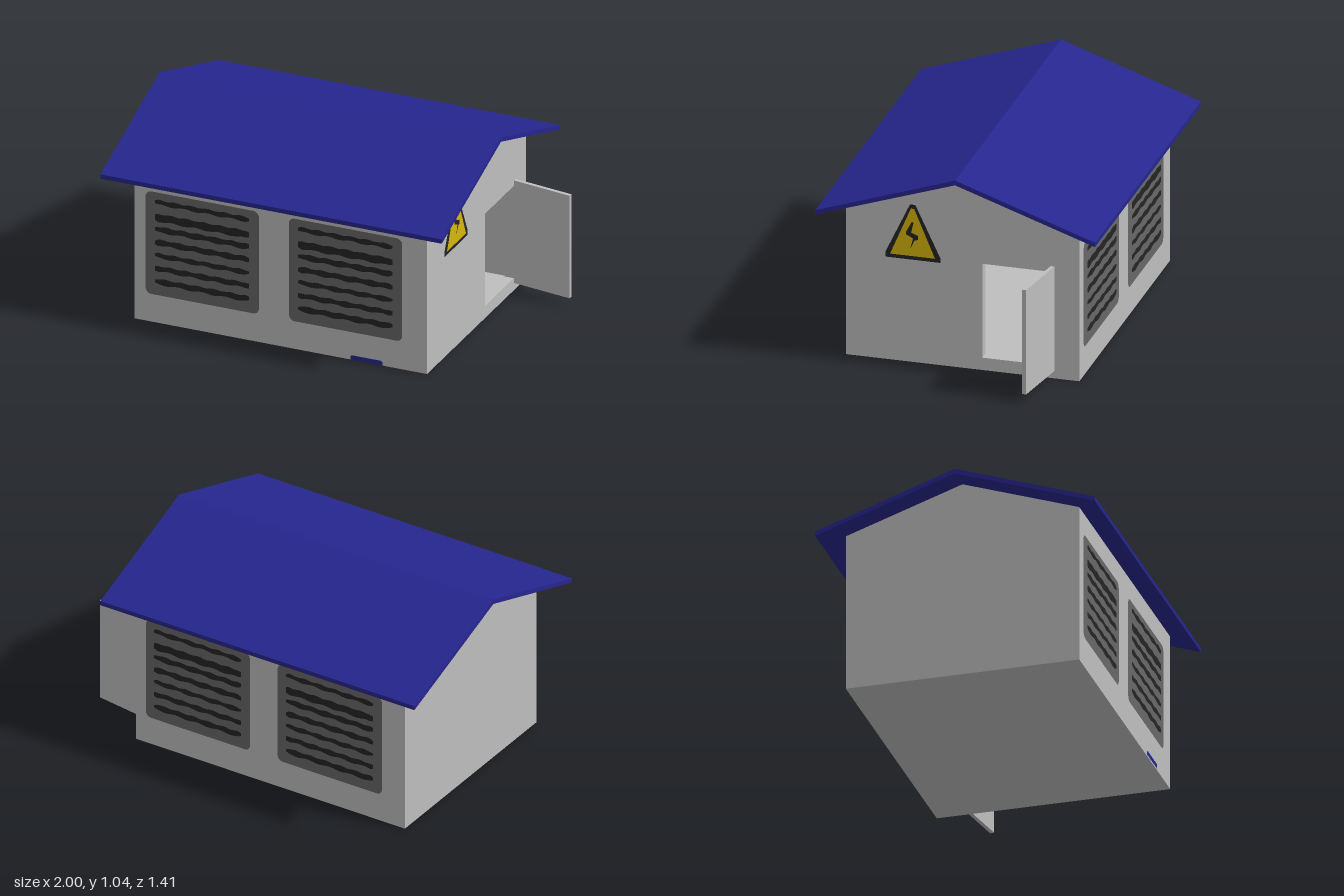
import * as THREE from 'three';

const mat = (name, color, side = THREE.FrontSide) => {
  const m = new THREE.MeshStandardMaterial({ color, side });
  m.name = name;
  return m;
};

const polygon = (points) => new THREE.Shape(points.map(([x, y]) => new THREE.Vector2(x, y)));

function roundedRect(x0, y0, x1, y1, r) {
  const s = new THREE.Shape();
  s.absarc(x1 - r, y1 - r, r, 0, Math.PI / 2);
  s.absarc(x0 + r, y1 - r, r, Math.PI / 2, Math.PI);
  s.absarc(x0 + r, y0 + r, r, Math.PI, Math.PI * 1.5);
  s.absarc(x1 - r, y0 + r, r, Math.PI * 1.5, Math.PI * 2);
  return s;
}

// Horizontal slot with a slightly uneven outline
function unevenSlot(x0, x1, y, height, phase) {
  const top = [], bottom = [], n = 28;
  for (let i = 0; i <= n; i++) {
    const x = x0 + (x1 - x0) * i / n;
    const end = i === 0 || i === n ? 0.65 : 1;
    top.push([x, y + height / 2 * end + 0.003 * Math.sin(i * 1.3 + phase)]);
    bottom.unshift([x, y - height / 2 * end + 0.004 * Math.sin(i * 0.9 + phase * 2)]);
  }
  return polygon([...top, ...bottom]);
}

export function createModel() {
  const model = new THREE.Group();
  model.name = 'utilityHut';
  const wall = mat('wallGrey', 0xbebebe);
  const roofBlue = mat('roofBlue', 0x262690);
  const ventGrey = mat('ventGrey', 0x686868);
  const black = mat('slotBlack', 0x242424);
  const yellow = mat('signYellow', 0xd8b60e);

  const add = (name, geometry, material, x = 0, y = 0, z = 0, parent = model) => {
    const mesh = new THREE.Mesh(geometry, material);
    mesh.name = name;
    mesh.position.set(x, y, z);
    parent.add(mesh);
    return mesh;
  };

  const X0 = -0.87, X1 = 0.68, Z = 0.59, T = 0.05, EAVE = 0.815, RIDGE = 1.015;
  const midX = (X0 + X1) / 2, innerLength = X1 - X0 - 2 * T;

  // Profiles are drawn across the hut (u = -z) and extruded along x
  const alongX = (shape, depth) =>
    new THREE.ExtrudeGeometry(shape, { depth, bevelEnabled: false }).rotateY(Math.PI / 2);
  const gable = () => polygon([[-Z, 0], [Z, 0], [Z, EAVE], [0, RIDGE], [-Z, EAVE]]);

  // Walls and floor around a hollow room
  const doorWall = gable();
  doorWall.holes.push(polygon([[0.1, 0.065], [0.1, 0.56], [0.445, 0.56], [0.445, 0.065]]));
  add('doorGableWall', alongX(doorWall, T), wall, X1 - T);
  add('plainGableWall', alongX(gable(), T), wall, X0);
  for (const side of [1, -1]) {
    add(side > 0 ? 'frontWall' : 'backWall', new THREE.BoxGeometry(innerLength, EAVE, T),
      wall, midX, EAVE / 2, side * (Z - T / 2));
  }
  add('floor', new THREE.BoxGeometry(innerLength, 0.02, 2 * (Z - T)), wall, midX, 0.01, 0);

  // Overhanging pitched roof
  const roof = polygon([[-0.707, 0.775], [0, RIDGE], [0.707, 0.775],
    [0.707, 0.798], [0, 1.04], [-0.707, 0.798]]);
  add('roof', alongX(roof, 1.81), roofBlue, -1);

  // Open door, hinged at the rear edge of the doorway
  const doorPlan = polygon([[0.68, 0.465], [0.68, 0.445], [0.997, 0.395], [1, 0.415]]);
  add('door', new THREE.ExtrudeGeometry(doorPlan, { depth: 0.55, bevelEnabled: false })
    .rotateX(-Math.PI / 2), wall, 0, 0.04, 0);

  // Ventilation grilles: two on the front, the same pair turned round on the back
  const slots = [[0.65, 0.025], [0.568, 0.04], [0.505, 0.03], [0.435, 0.03],
    [0.365, 0.025], [0.295, 0.028], [0.225, 0.03]];
  for (const side of ['front', 'back']) {
    const pair = new THREE.Group();
    pair.name = side + 'Vents';
    pair.position.x = midX;
    if (side === 'back') pair.rotation.y = Math.PI;
    for (const left of [-0.81, -0.05]) {
      const x = left - midX;
      add('ventPanel', new THREE.ShapeGeometry(roundedRect(x, 0.15, x + 0.6, 0.7, 0.03)),
        ventGrey, 0, 0, Z + 0.004, pair);
      slots.forEach(([y, h], i) => add('ventSlot',
        new THREE.ShapeGeometry(unevenSlot(x + 0.05, x + 0.55, y, h, i * 1.7)),
        black, 0, 0, Z + 0.008, pair));
    }
    model.add(pair);
  }

  // Small blue plate at the foot of the front wall
  add('footPlate', new THREE.ShapeGeometry(polygon([[0.275, 0.002], [0.445, 0.002],
    [0.445, 0.02], [0.435, 0.026], [0.285, 0.026], [0.275, 0.02]])), roofBlue, 0, 0, Z + 0.004);

  // Triangular hazard sign on the door gable
  const sign = (name, points, material, offset) =>
    add(name, new THREE.ShapeGeometry(polygon(points)).rotateY(Math.PI / 2), material, X1 + offset);
  sign('signBorder', [[-0.39, 0.54], [-0.112, 0.54], [-0.112, 0.565], [-0.238, 0.83],
    [-0.265, 0.83], [-0.39, 0.565]], black, 0.003);
  sign('signFace', [[-0.365, 0.56], [-0.138, 0.56], [-0.243, 0.81], [-0.26, 0.81]], yellow, 0.006);
  sign('signBolt', [[-0.255, 0.74], [-0.245, 0.74], [-0.258, 0.685], [-0.222, 0.67], [-0.222, 0.65],
    [-0.24, 0.645], [-0.262, 0.598], [-0.248, 0.655], [-0.284, 0.673], [-0.284, 0.685]], black, 0.009);

  return model;
}
